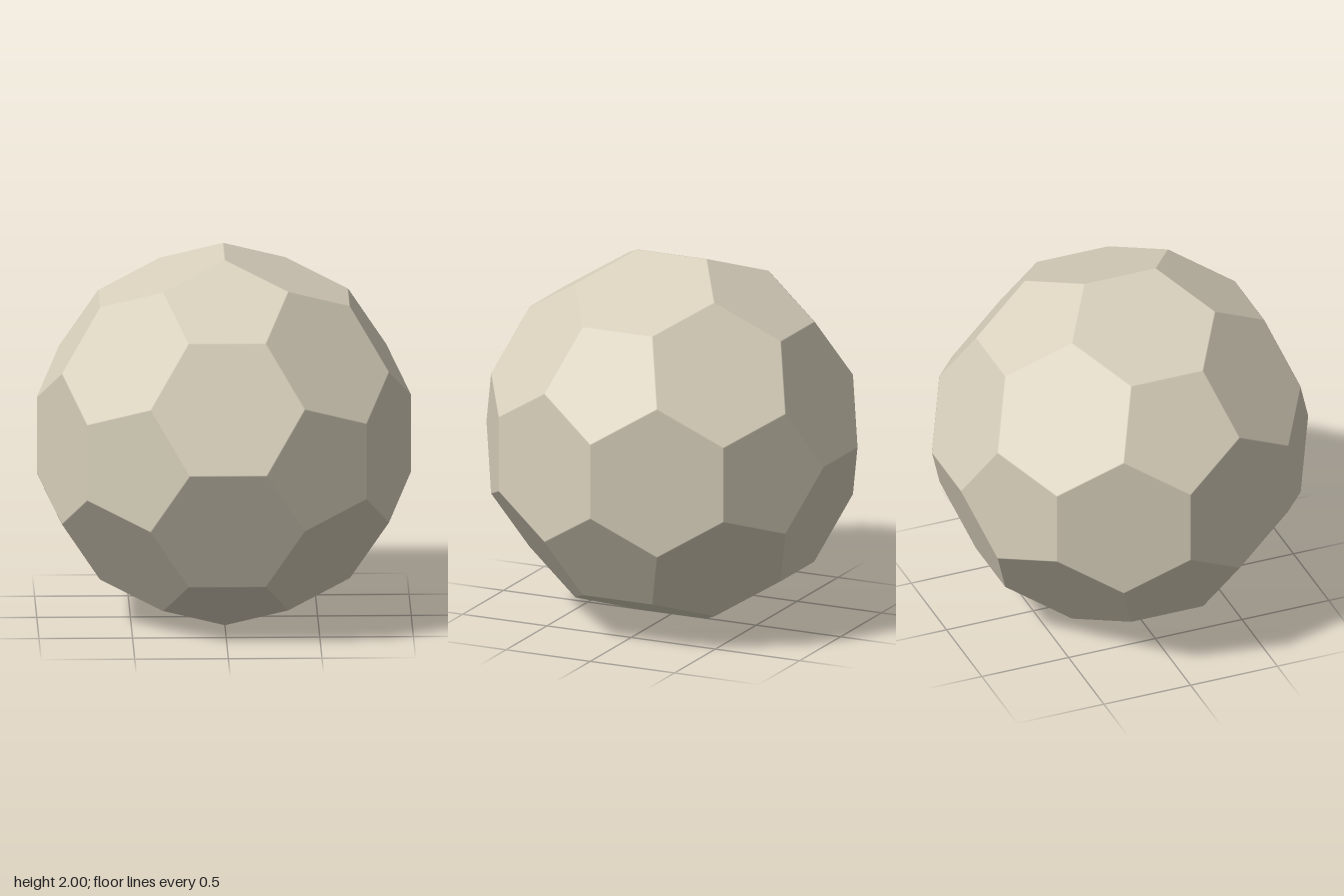
import * as THREE from 'three';
import { ConvexGeometry } from 'three/addons/geometries/ConvexGeometry.js';

const PHI = (1 + Math.sqrt(5)) / 2;

// All sign changes and cyclic shifts of one coordinate triple
function symmetric(a, b, c) {
  const found = new Map();
  for (const sx of [-1, 1]) for (const sy of [-1, 1]) for (const sz of [-1, 1]) {
    const p = [a * sx, b * sy, c * sz];
    for (let i = 0; i < 3; i++) {
      const v = new THREE.Vector3(p[i], p[(i + 1) % 3], p[(i + 2) % 3]);
      found.set(v.toArray().map((n) => Math.round(n * 1000) + 0).join(), v);
    }
  }
  return [...found.values()];
}

export function createModel() {
  const model = new THREE.Group();
  model.name = 'panelledBall';
  const ivory = new THREE.MeshStandardMaterial({ color: 0xd8d0bc });
  ivory.name = 'ivory';

  // Corners of the truncated icosahedron, scaled to radius about 1
  const corners = [
    ...symmetric(3 * PHI, 1, 0),
    ...symmetric(2 * PHI, 2 + PHI, 1),
    ...symmetric(PHI ** 3, 2, PHI),
  ].map((v) => v.divideScalar(3 * PHI));

  // Directions of the 12 pentagons and 20 hexagons
  const directions = [
    ...symmetric(PHI, 1, 0),
    ...symmetric(PHI ** 2, 0, 1),
    ...symmetric(1, 1, 1),
  ].map((v) => v.normalize());

  // Shrink every panel slightly, which leaves a fine bevel between panels
  const points = [];
  const normals = [];
  for (const n of directions) {
    const reach = Math.max(...corners.map((c) => c.dot(n)));
    const centre = n.clone().multiplyScalar(reach);
    for (const c of corners) {
      if (c.dot(n) < reach - 1e-4) continue;
      points.push(c.clone().lerp(centre, 0.012));
      normals.push(n);
    }
  }
  const size = Math.max(...points.map((p) => p.y));
  points.forEach((p) => p.divideScalar(size));

  // Flat panels with softly shaded bevels: each corner keeps its panel's normal
  const geometry = new ConvexGeometry(points);
  const position = geometry.attributes.position;
  const v = new THREE.Vector3();
  for (let i = 0; i < position.count; i++) {
    v.fromBufferAttribute(position, i);
    let best = 0;
    points.forEach((p, k) => {
      if (p.distanceToSquared(v) < points[best].distanceToSquared(v)) best = k;
    });
    geometry.attributes.normal.setXYZ(i, ...normals[best].toArray());
  }

  const ball = new THREE.Mesh(geometry, ivory);
  ball.name = 'ball';
  ball.position.y = 1;
  model.add(ball);
  return model;
}
